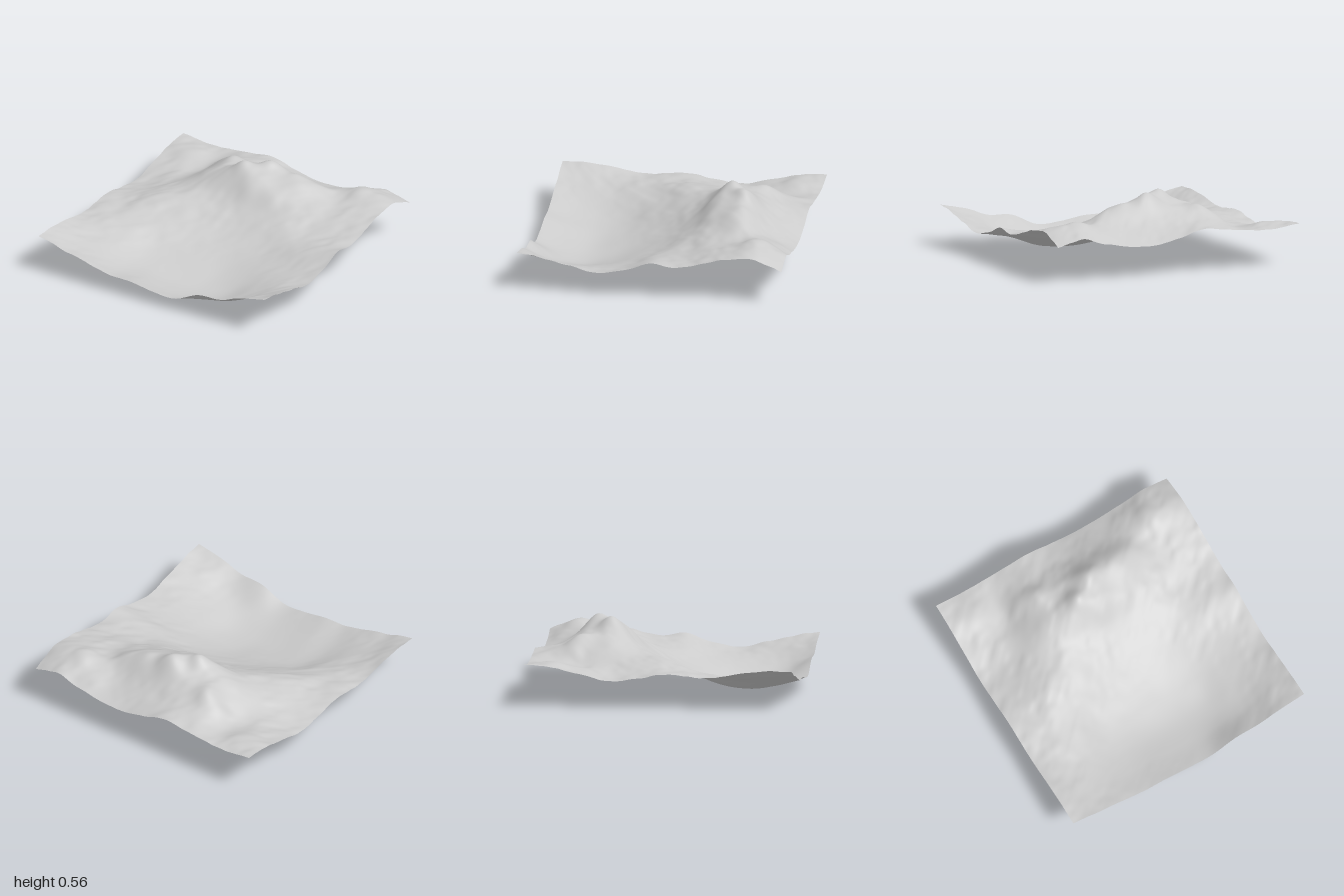
import * as THREE from 'three';

// Terrain heights in hundredths: one cross-section per line, back to front, x from -1 to 1
const SECTIONS = [
  [32, 29.5, 30, 31.5, 34, 28, 24.5, 25, 28.5, 32.5, 28],
  [31, 32, 29, 36, 36.5, 35, 34, 33, 36, 40, 35.5],
  [26, 26.5, 28, 39, 44.5, 48, 47.5, 44, 36, 37, 35],
  [21, 24, 30.5, 42, 49.5, 51, 45, 39, 32, 31, 30],
  [22, 25, 31.5, 35, 35.5, 33, 30.5, 28, 26, 26, 26.5],
  [26, 28, 31, 29, 24, 20, 18, 18, 21, 25, 28.5],
  [25, 26, 25.5, 20.5, 14.5, 11, 9.5, 11, 14, 18, 21.5],
  [24.5, 24, 20, 11.5, 7.5, 5, 3, 5, 10, 15, 18.5],
  [28, 22, 16, 8.5, 5, 2, 0.5, 2, 9, 16, 23],
  [30, 22, 16, 10, 8, 5, 3.5, 6, 11, 20, 28],
  [31, 25, 20, 15, 14, 11, 10, 18, 20.5, 27, 30.5],
];

// Summits and spurs: x, z, extra height, radius
const PEAKS = [
  [-0.11, -0.44, 0.045, 0.08],
  [0.06, -0.57, 0.055, 0.09],
  [0.02, -0.3, 0.02, 0.08],
  [0.22, -0.3, 0.015, 0.08],
  [-0.34, -0.65, 0.05, 0.09],
  [-0.47, -0.68, 0.025, 0.08],
  [0.3, -0.56, 0.02, 0.1],
  [0.7, -0.75, 0.03, 0.1],
];

// Catmull-Rom value along a list of evenly spaced samples, t from 0 to 1
function spline(list, t) {
  const n = list.length - 1;
  const i = Math.min(Math.floor(t * n), n - 1);
  const f = t * n - i;
  const b = list[i], c = list[i + 1];
  const a = i > 0 ? list[i - 1] : 2 * b - c;
  const d = i < n - 1 ? list[i + 2] : 2 * c - b;
  return b + 0.5 * f * (c - a + f * (2 * a - 5 * b + 4 * c - d + f * (3 * (b - c) + d - a)));
}

// Smooth value noise in -1..1
function hash(i, j) {
  const s = Math.sin(i * 127.1 + j * 311.7) * 43758.5453;
  return 2 * (s - Math.floor(s)) - 1;
}
function noise(x, y) {
  const i = Math.floor(x), j = Math.floor(y);
  const u = THREE.MathUtils.smootherstep(x - i, 0, 1);
  const v = THREE.MathUtils.smootherstep(y - j, 0, 1);
  const { lerp } = THREE.MathUtils;
  return lerp(lerp(hash(i, j), hash(i + 1, j), u), lerp(hash(i, j + 1), hash(i + 1, j + 1), u), v);
}

function heightAt(x, z) {
  let h = spline(SECTIONS.map((row) => spline(row, (x + 1) / 2)), (z + 1) / 2) / 100;
  for (const [px, pz, rise, r] of PEAKS) {
    h += rise * Math.exp(-((x - px) ** 2 + (z - pz) ** 2) / (r * r));
  }
  // Erosion gullies lean along the diagonal and fade out on the low basin floor
  const along = (x - z) * 0.707, across = (x + z) * 0.707;
  const rough = THREE.MathUtils.smoothstep(h, 0, 0.3);
  h += rough * (0.008 * noise(along * 5 + 7, across * 8) + 0.004 * noise(along * 12, across * 18 + 3));
  return h;
}

export function createModel() {
  const group = new THREE.Group();
  group.name = 'landscape';

  // Terrain sheet
  const geometry = new THREE.PlaneGeometry(2, 2, 140, 140);
  geometry.rotateX(-Math.PI / 2);
  const p = geometry.attributes.position;
  for (let i = 0; i < p.count; i++) p.setY(i, heightAt(p.getX(i), p.getZ(i)));
  geometry.computeBoundingBox();
  geometry.translate(0, -geometry.boundingBox.min.y, 0);
  geometry.computeVertexNormals();

  const material = new THREE.MeshStandardMaterial({ color: 0xcccccc, side: THREE.DoubleSide });
  const terrain = new THREE.Mesh(geometry, material);
  terrain.name = 'terrain';
  group.add(terrain);
  return group;
}
